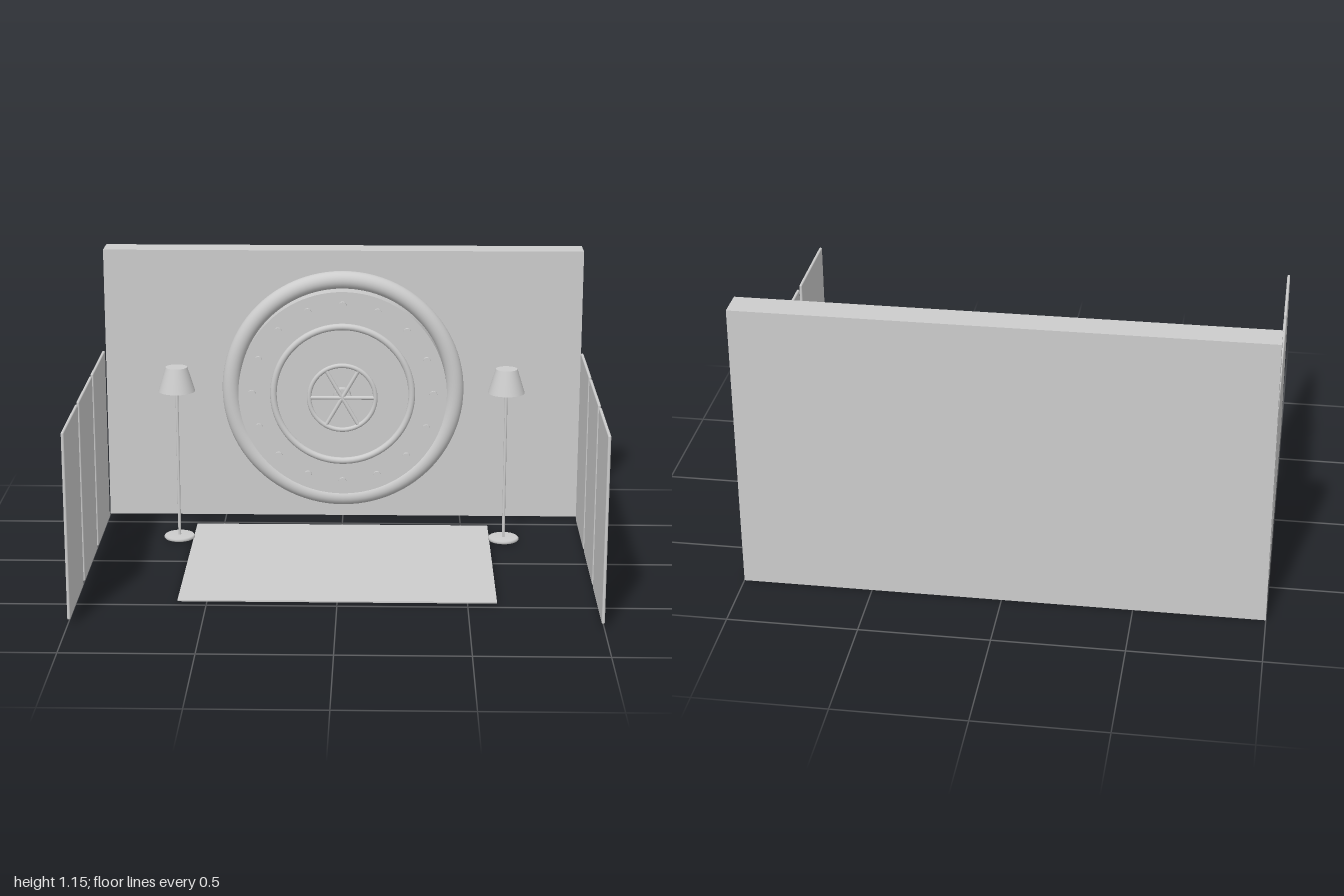
import * as THREE from 'three';
import { RoundedBoxGeometry } from 'three/addons/geometries/RoundedBoxGeometry.js';

export function createModel() {
  const model = new THREE.Group();
  model.name = 'vaultRoom';
  const grey = new THREE.MeshStandardMaterial({ color: 0xcccccc });
  grey.name = 'plainGrey';

  const add = (parent, name, geometry, x = 0, y = 0, z = 0) => {
    const mesh = new THREE.Mesh(geometry, grey);
    mesh.name = name;
    mesh.position.set(x, y, z);
    parent.add(mesh);
    return mesh;
  };
  // Disc whose axis runs along z, spanning z0 to z1
  const disc = (radius, z0, z1, sides = 64) =>
    new THREE.CylinderGeometry(radius, radius, z1 - z0, sides)
      .rotateX(Math.PI / 2).translate(0, 0, (z0 + z1) / 2);

  // Back wall and rug
  add(model, 'backWall', new THREE.BoxGeometry(2, 1.155, 0.116), 0, 0.5775, -0.671);
  add(model, 'rug', new THREE.BoxGeometry(1.226, 0.006, 0.924), 0, 0.004, 0);

  // Three thin panels along each side
  for (const side of [-1, 1]) {
    for (const z of [0.538, 0.117, -0.304]) {
      add(model, side > 0 ? 'leftPanel' : 'rightPanel',
        new RoundedBoxGeometry(0.012, 0.728, 0.383, 3, 0.0055), side * 0.994, 0.387, z);
    }
  }

  // Round vault door
  const door = new THREE.Group();
  door.name = 'vaultDoor';
  door.position.y = 0.561;
  model.add(door);
  add(door, 'doorFrame', new THREE.TorusGeometry(0.472, 0.037, 24, 96), 0, 0, -0.607);
  add(door, 'doorDisc', disc(0.437, -0.62, -0.528, 96));
  add(door, 'doorRing', new THREE.TorusGeometry(0.29, 0.014, 16, 80), 0, 0, -0.523);
  for (let i = 0; i < 16; i++) {
    const a = i * Math.PI / 8;
    add(door, 'bolt', disc(0.016, -0.532, -0.515, 20), 0.381 * Math.cos(a), 0.381 * Math.sin(a), 0);
  }

  // Hand wheel with six spokes
  const wheel = new THREE.Group();
  wheel.name = 'handWheel';
  door.add(wheel);
  add(wheel, 'wheelShaft', disc(0.028, -0.535, -0.5, 32));
  add(wheel, 'wheelHub', disc(0.037, -0.507, -0.468, 32));
  add(wheel, 'wheelRim', new THREE.TorusGeometry(0.138, 0.0095, 16, 64), 0, 0, -0.468);
  for (let i = 0; i < 3; i++) {
    const spoke = add(wheel, 'spokePair', new THREE.CylinderGeometry(0.008, 0.008, 0.276, 12), 0, 0, -0.468);
    spoke.rotation.z = Math.PI / 2 + i * Math.PI / 3;
  }

  // Floor lamps either side of the door
  const baseProfile = [[0, 0.004], [0.06, 0.004], [0.063, 0.007], [0.063, 0.014], [0.059, 0.018], [0, 0.018]]
    .map(([r, y]) => new THREE.Vector2(r, y));
  for (const side of [-1, 1]) {
    const lamp = new THREE.Group();
    lamp.name = side > 0 ? 'leftLamp' : 'rightLamp';
    lamp.position.set(side * 0.672, 0, -0.288);
    model.add(lamp);
    add(lamp, 'lampBase', new THREE.LatheGeometry(baseProfile, 40));
    add(lamp, 'lampPole', new THREE.CylinderGeometry(0.006, 0.006, 0.63, 16), 0, 0.327, 0);
    add(lamp, 'lampShade', new THREE.CylinderGeometry(0.044, 0.075, 0.1, 40), 0, 0.686, 0);
  }
  return model;
}
